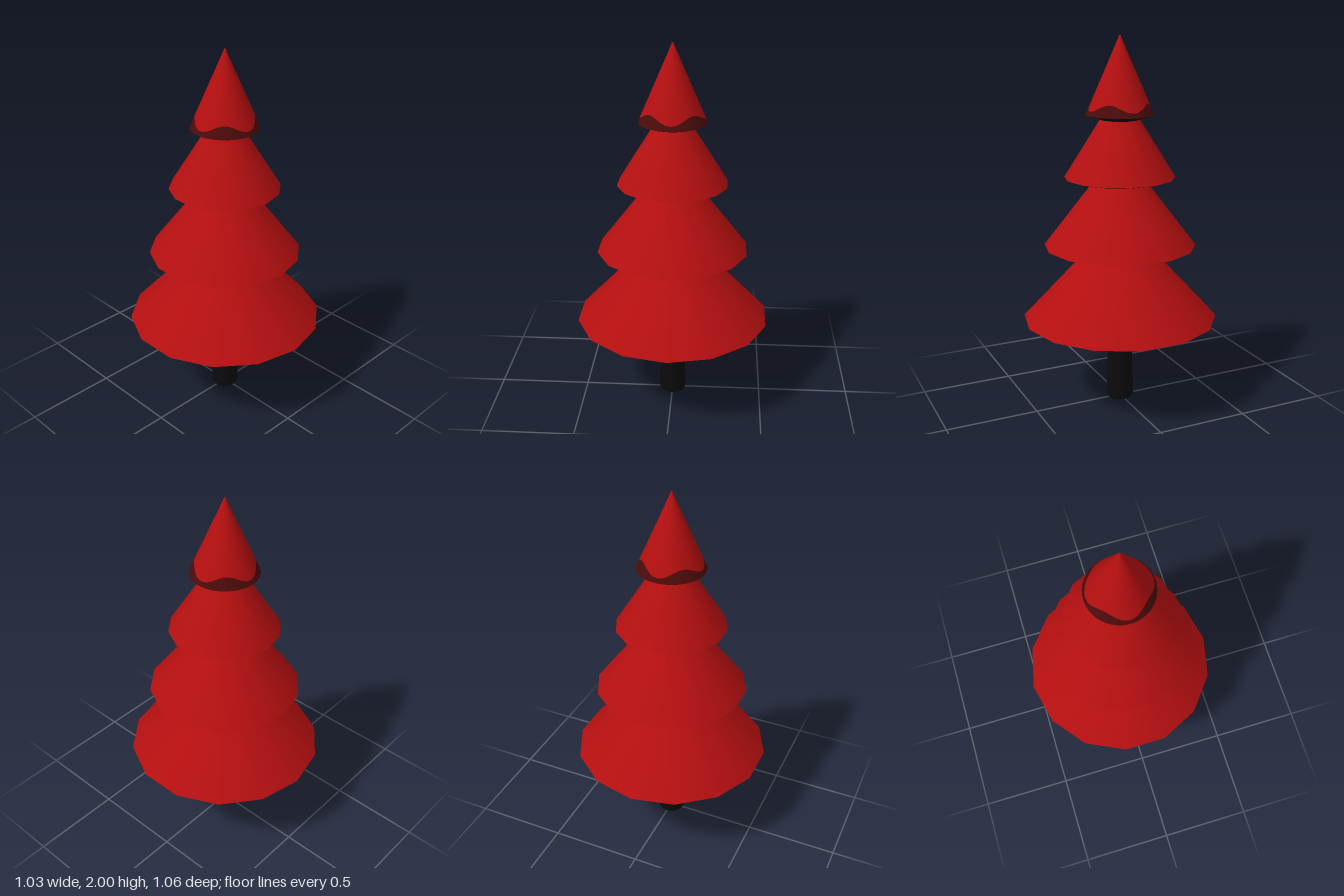
import * as THREE from 'three';

const SIDES = 14;

export function createModel() {
  const red = new THREE.MeshStandardMaterial({ color: 0xb40f10 });
  red.name = 'red foliage';
  const darkRed = new THREE.MeshStandardMaterial({ color: 0x4c0a0a });
  darkRed.name = 'dark red fringe';
  const black = new THREE.MeshStandardMaterial({ color: 0x0b0b0b });
  black.name = 'black underside and trunk';

  const tree = new THREE.Group();
  tree.name = 'tree';

  // Revolve a profile listed from its lower inner end to its upper end
  function turned(name, profile, material, sides = SIDES) {
    const points = profile.map(([r, y]) => new THREE.Vector2(r, y));
    const mesh = new THREE.Mesh(new THREE.LatheGeometry(points, sides), material);
    mesh.name = name;
    tree.add(mesh);
    return mesh;
  }

  // Trunk, stepping in slightly towards the top
  turned('trunk', [[0, 0], [0.068, 0], [0.074, 0.01], [0.074, 0.11], [0.07, 0.12],
    [0.069, 0.4], [0.065, 0.42], [0.065, 0.49]], black, 20);

  // Three skirts: rim radius, rim height, top radius, top height, radius of the neck below
  const skirts = [
    ['bottom', 0.53, 0.48, 0.17, 0.865, 0],
    ['lower', 0.41, 0.887, 0.135, 1.245, 0.17],
    ['upper', 0.297, 1.26, 0.1, 1.575, 0.135],
  ];
  for (const [name, rim, y, top, topY, neck] of skirts) {
    turned(name + 'Skirt', [[rim, y], [top, topY]], red);
    turned(name + 'Underside', neck
      ? [[neck, y - 0.03], [neck + 0.025, y - 0.012], [rim - 0.03, y - 0.008], [rim, y]]
      : [[0, y - 0.004], [rim - 0.01, y - 0.004], [rim, y]], black);
  }

  // Crown cone, split by a wavy line that slides along its slope
  const rim = 0.18, rimY = 1.592, tipY = 2.005;
  const radiusAt = (y) => rim * (tipY - y) / (tipY - rimY);
  const seam = 1.635;
  function wave(mesh) {
    const p = mesh.geometry.attributes.position;
    for (let i = 0; i < p.count; i++) {
      if (Math.abs(p.getY(i) - seam) > 1e-4) continue;
      const angle = Math.atan2(p.getX(i), p.getZ(i));
      const y = seam - 0.02 * Math.cos(4 * angle);
      const r = radiusAt(y);
      p.setXYZ(i, r * Math.sin(angle), y, r * Math.cos(angle));
    }
  }
  wave(turned('crownFringe', [[rim, rimY], [radiusAt(seam), seam]], darkRed, 42));
  wave(turned('crown', [[radiusAt(seam), seam], [radiusAt(1.985), 1.985], [0.005, 1.997], [0, 2]], red, 42));
  turned('crownUnderside', [[0.1, 1.565], [0.12, 1.578], [0.165, 1.586], [rim, rimY]], black, 42);

  return tree;
}
